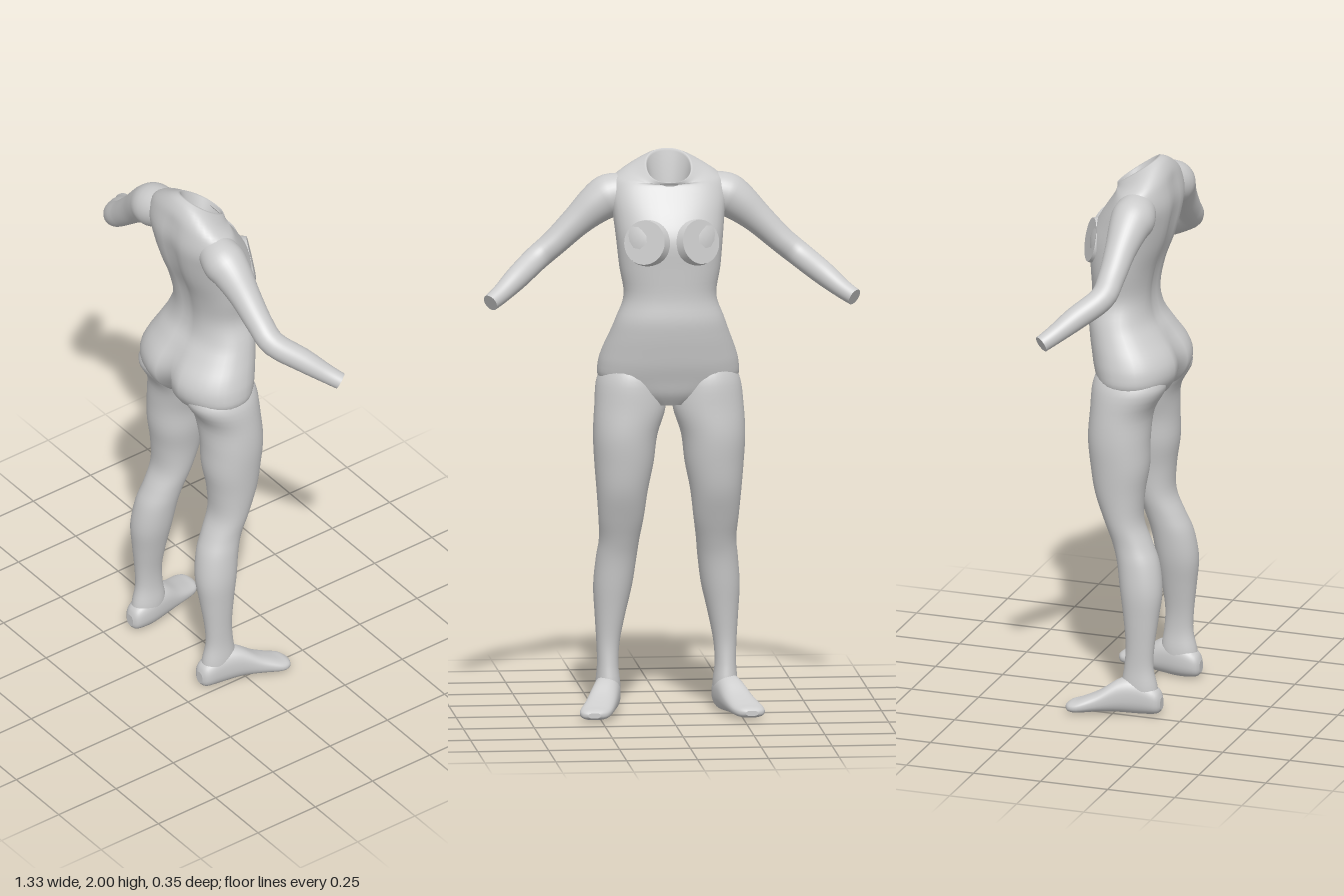
import * as THREE from 'three';

const SEG = 40;

// Resample rows of numbers along a Catmull-Rom spline, column by column
function smooth(rows, steps) {
  const out = [];
  const at = (i) => rows[Math.max(0, Math.min(rows.length - 1, i))];
  for (let i = 0; i < rows.length - 1; i++) {
    for (let s = 0; s < steps; s++) {
      const t = s / steps;
      out.push(rows[i].map((p1, c) => {
        const p0 = at(i - 1)[c], p2 = at(i + 1)[c], p3 = at(i + 2)[c];
        return 0.5 * (2 * p1 + (p2 - p0) * t + (2 * p0 - 5 * p1 + 4 * p2 - p3) * t * t
          + (3 * p1 - p0 - 3 * p2 + p3) * t * t * t);
      }));
    }
  }
  out.push(rows[rows.length - 1].slice());
  return out;
}

// Skin a list of closed rings and cap both ends
function loft(rings) {
  const pos = [], idx = [];
  const add = (p) => pos.push(p.x, p.y, p.z) / 3 - 1;
  rings.forEach((ring) => ring.forEach(add));
  for (let i = 0; i < rings.length - 1; i++) {
    for (let j = 0; j < SEG; j++) {
      const a = i * SEG + j, b = i * SEG + (j + 1) % SEG;
      idx.push(a, b, a + SEG, b, b + SEG, a + SEG);
    }
  }
  [rings[0], rings[rings.length - 1]].forEach((ring, end) => {
    const mid = ring.reduce((s, p) => s.add(p), new THREE.Vector3()).divideScalar(SEG);
    const c = add(mid);
    const first = c + 1;
    ring.forEach(add);
    for (let j = 0; j < SEG; j++) {
      const a = first + j, b = first + (j + 1) % SEG;
      if (end) idx.push(a, b, c); else idx.push(b, a, c);
    }
  });
  // Turn the faces outward if the enclosed volume is negative
  const v = (i) => new THREE.Vector3().fromArray(pos, i * 3);
  let volume = 0;
  for (let i = 0; i < idx.length; i += 3) volume += v(idx[i]).dot(v(idx[i + 1]).cross(v(idx[i + 2])));
  if (volume < 0) idx.reverse();
  const g = new THREE.BufferGeometry();
  g.setAttribute('position', new THREE.Float32BufferAttribute(pos, 3));
  g.setIndex(idx);
  g.computeVertexNormals();
  return g;
}

// Closed ring of points; fn receives the superellipse coordinates
function ring(fn, power = 2) {
  const soft = (n) => Math.sign(n) * Math.pow(Math.abs(n), 2 / power);
  return Array.from({ length: SEG }, (_, j) => {
    const a = (j / SEG) * Math.PI * 2;
    return fn(soft(Math.cos(a)), soft(Math.sin(a)));
  });
}

export function createModel() {
  const group = new THREE.Group();
  const skin = new THREE.MeshStandardMaterial({ color: 0xcccccc, side: THREE.DoubleSide });
  skin.name = 'plain grey';
  const part = (name, geometry) => {
    const m = new THREE.Mesh(geometry, skin);
    m.name = name;
    group.add(m);
    return m;
  };

  // Torso: height, half width, back z, belly z, tilt, groove along the back
  const torsoRows = smooth([
    [1.11, 0.09, 0.05, -0.075, 0, 0.01],
    [1.15, 0.19, 0.13, -0.1, 0, 0.035],
    [1.2, 0.245, 0.17, -0.115, 0, 0.045],
    [1.25, 0.248, 0.18, -0.13, 0, 0.04],
    [1.3, 0.235, 0.163, -0.14, 0, 0.03],
    [1.36, 0.212, 0.118, -0.15, 0, 0.012],
    [1.42, 0.19, 0.08, -0.155, 0, 0.01],
    [1.5, 0.163, 0.07, -0.148, 0, 0.012],
    [1.6, 0.178, 0.088, -0.152, 0, 0.015],
    [1.7, 0.188, 0.125, -0.155, 0, 0.018],
    [1.78, 0.197, 0.145, -0.122, 0, 0.018],
    [1.85, 0.207, 0.152, -0.078, 0, 0.012],
    [1.9, 0.195, 0.14, -0.055, 0.15, 0.006],
    [1.925, 0.16, 0.127, -0.055, 0.35, 0],
    [1.94, 0.115, 0.105, -0.06, 0.6, 0],
    [1.95, 0.08, 0.08, -0.065, 0.7, 0],
  ], 4);
  // Hollow neck
  torsoRows.push([1.945, 0.076, 0.074, -0.06, 0.7, 0], [1.86, 0.055, 0.06, -0.04, 0.4, 0]);
  part('torso', loft(torsoRows.map(([y, rx, back, front, tilt, groove]) => ring((c, s) => {
    const x = c * rx, half = (back - front) / 2;
    const dent = s > 0 ? groove * Math.exp(-((x / 0.035) ** 2)) : 0;
    return new THREE.Vector3(x, y + tilt * s * half, (back + front) / 2 + s * half - dent);
  }, 2.25))));

  // Leg: height, inner x, outer x, back z, front z
  const legRows = smooth([
    [1.27, 0.05, 0.2, 0.1, -0.08],
    [1.2, 0.018, 0.25, 0.155, -0.108],
    [1.1, 0.012, 0.263, 0.108, -0.115],
    [1.0, 0.042, 0.268, 0.1, -0.118],
    [0.9, 0.055, 0.263, 0.1, -0.108],
    [0.8, 0.075, 0.255, 0.085, -0.09],
    [0.7, 0.088, 0.247, 0.082, -0.055],
    [0.62, 0.1, 0.242, 0.115, -0.025],
    [0.55, 0.108, 0.25, 0.145, -0.005],
    [0.45, 0.122, 0.258, 0.16, 0.01],
    [0.35, 0.145, 0.253, 0.15, 0.025],
    [0.25, 0.165, 0.247, 0.138, 0.035],
    [0.17, 0.17, 0.245, 0.135, 0.03],
    [0.1, 0.163, 0.25, 0.15, 0.02],
    [0.04, 0.165, 0.248, 0.155, 0.03],
  ], 4);

  // Foot: centre x, z, half width, top, bottom
  const footRows = smooth([
    [0.205, 0.167, 0.018, 0.065, 0.02],
    [0.205, 0.15, 0.037, 0.095, 0.005],
    [0.208, 0.09, 0.047, 0.13, 0],
    [0.222, 0.02, 0.05, 0.125, 0.003],
    [0.246, -0.05, 0.055, 0.08, 0.006],
    [0.268, -0.11, 0.057, 0.053, 0.004],
    [0.275, -0.143, 0.046, 0.043, 0.006],
    [0.278, -0.158, 0.022, 0.033, 0.014],
  ], 4);

  // Arm: centre x, y, z, radius
  const armRows = smooth([
    [0.12, 1.86, 0.05, 0.06],
    [0.2, 1.838, 0.06, 0.078],
    [0.25, 1.81, 0.057, 0.07],
    [0.32, 1.75, 0.052, 0.055],
    [0.4, 1.675, 0.047, 0.047],
    [0.465, 1.622, 0.035, 0.045],
    [0.54, 1.566, -0.035, 0.042],
    [0.6, 1.52, -0.09, 0.034],
    [0.642, 1.493, -0.126, 0.03],
  ], 4);
  const up = new THREE.Vector3(0, 1, 0);

  [['left', 1], ['right', -1]].forEach(([side, sx]) => {
    part(side + 'Leg', loft(legRows.map(([y, xin, xout, back, front]) => ring((c, s) =>
      new THREE.Vector3(sx * ((xin + xout) / 2 + c * (xout - xin) / 2), y,
        (back + front) / 2 + s * (back - front) / 2), 2.1))));

    part(side + 'Foot', loft(footRows.map(([x, z, w, top, low]) => ring((c, s) =>
      new THREE.Vector3(sx * (x + c * w), (top + low) / 2 + s * (top - low) / 2, z), 2.4))));

    part(side + 'Arm', loft(armRows.map(([x, y, z, r], i) => {
      const a = armRows[Math.max(0, i - 1)], b = armRows[Math.min(armRows.length - 1, i + 1)];
      const along = new THREE.Vector3(b[0] - a[0], b[1] - a[1], b[2] - a[2]).normalize();
      const across = along.clone().cross(up).normalize();
      const rise = across.clone().cross(along);
      return ring((c, s) => {
        const p = new THREE.Vector3(x, y, z).addScaledVector(across, c * r).addScaledVector(rise, s * r);
        p.x *= sx;
        return p;
      });
    })));

    // Low flat-topped chest mount
    const mount = part(side + 'ChestMount', new THREE.CylinderGeometry(0.078, 0.09, 0.05, 40));
    const normal = new THREE.Vector3(sx * 0.5, 0.2, -0.85).normalize();
    mount.quaternion.setFromUnitVectors(up, normal);
    mount.position.set(sx * 0.1, 1.7, -0.137).addScaledVector(normal, -0.025);
  });

  return group;
}
